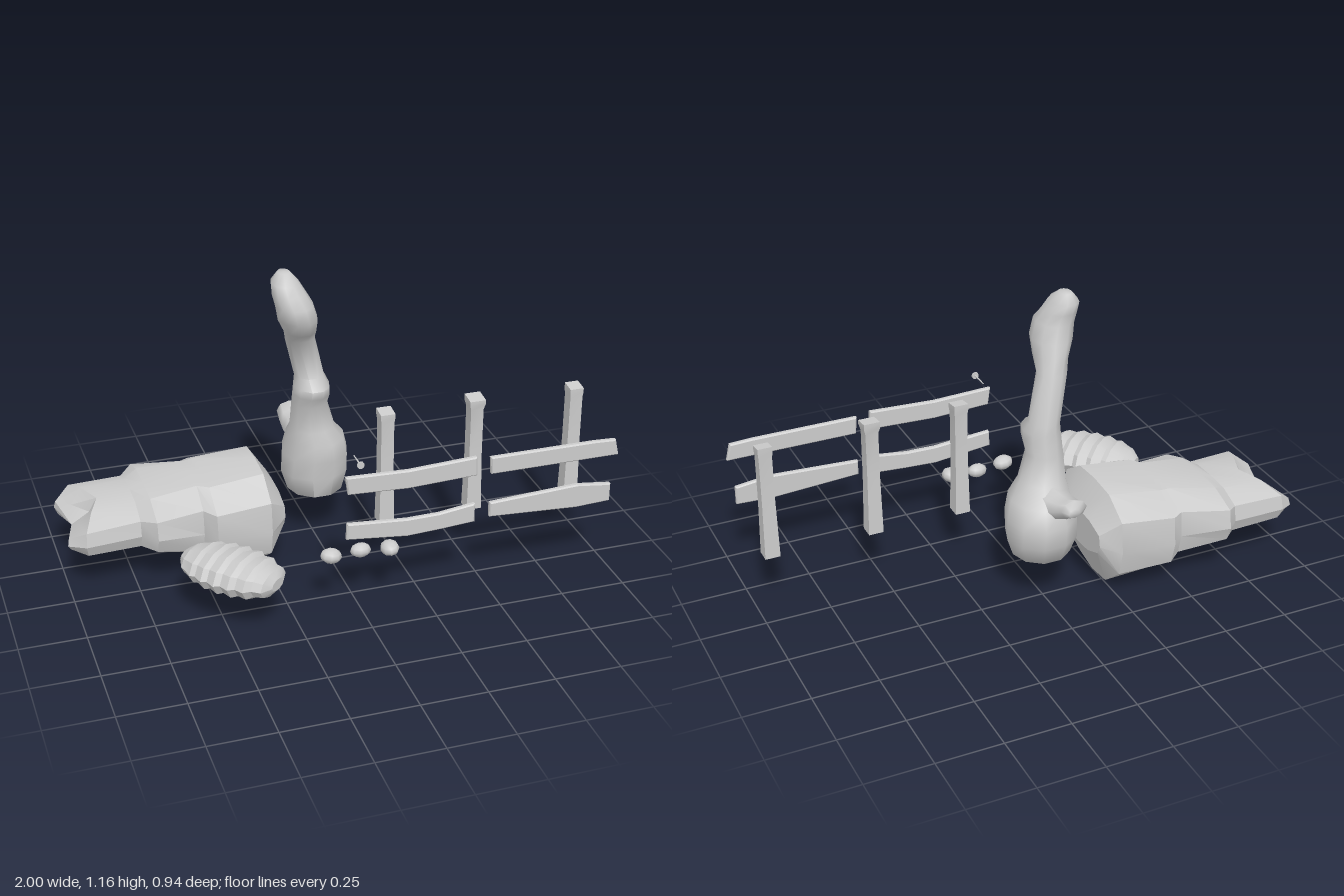
import * as THREE from 'three';
import { toCreasedNormals } from 'three/addons/utils/BufferGeometryUtils.js';

const mat = new THREE.MeshStandardMaterial({ color: 0xcccccc });

function add(parent, name, geo, x = 0, y = 0, z = 0) {
  const m = new THREE.Mesh(geo, mat);
  m.name = name;
  m.position.set(x, y, z);
  parent.add(m);
  return m;
}

// Skin a stack of equal-length rings, closing both ends at their centres
function loft(rings, crease) {
  const n = rings[0].length, pos = [], idx = [];
  rings.forEach(r => r.forEach(p => pos.push(...p)));
  for (let i = 0; i < rings.length - 1; i++)
    for (let j = 0; j < n; j++) {
      const a = i * n + j, b = i * n + (j + 1) % n;
      idx.push(a, a + n, b, b, a + n, b + n);
    }
  [0, rings.length - 1].forEach((k, end) => {
    const c = pos.length / 3;
    pos.push(...[0, 1, 2].map(d => rings[k].reduce((s, p) => s + p[d] / n, 0)));
    for (let j = 0; j < n; j++) {
      const a = k * n + j, b = k * n + (j + 1) % n;
      idx.push(c, end ? b : a, end ? a : b);
    }
  });
  const g = new THREE.BufferGeometry();
  g.setAttribute('position', new THREE.Float32BufferAttribute(pos, 3));
  g.setIndex(idx);
  return toCreasedNormals(g, crease);
}

// Ring of [u, v] pairs filling the given extents
function oval(n, u0, u1, v0, v1) {
  return Array.from({ length: n }, (_, j) => {
    const a = (j / n) * Math.PI * 2;
    return [(u0 + u1) / 2 + Math.cos(a) * (u1 - u0) / 2, (v0 + v1) / 2 + Math.sin(a) * (v1 - v0) / 2];
  });
}

function boulder() {
  // Blocky section: broad flat top, underside narrowing to the base
  const unit = [[1, 0], [0.95, 0.6], [0.5, 0.96], [0, 1], [-0.5, 0.95], [-0.95, 0.62],
    [-1, 0], [-0.9, -0.5], [-0.45, -0.95], [0, -1], [0.45, -0.88], [0.9, -0.5]];
  // x, z range, y range, depth of the notch between the two end lobes
  const sections = [
    [-1.0, -0.37, -0.06, 0.16, 0.25, 0.11], [-0.94, -0.41, 0, 0.13, 0.31, 0.08],
    [-0.73, -0.41, -0.02, 0.12, 0.32, 0], [-0.68, -0.46, 0.045, 0.11, 0.345, 0],
    [-0.5, -0.405, 0.02, 0.05, 0.37, 0], [-0.46, -0.43, 0.075, 0.02, 0.375, 0],
    [-0.25, -0.41, 0.07, 0, 0.4, 0], [-0.18, -0.36, 0.0, 0.15, 0.29, 0]];
  return loft(sections.map(([x, z0, z1, y0, y1, notch]) => unit.map(([u, v]) => [
    x + notch * (1 - Math.abs(u)),
    (y0 + y1) / 2 + v * (y1 - y0) / 2,
    (z0 + z1) / 2 + u * (z1 - z0) / 2])), 0.4);
}

function trunk() {
  // y, x range, z range: swollen root, knot half way, swollen leaning top
  const sections = [
    [0.17, -0.03, 0.05, -0.29, -0.21], [0.205, -0.1, 0.12, -0.36, -0.13],
    [0.28, -0.122, 0.148, -0.39, -0.128], [0.36, -0.118, 0.145, -0.4, -0.11],
    [0.43, -0.105, 0.125, -0.37, -0.11], [0.485, -0.1, 0.08, -0.3, -0.127],
    [0.59, -0.09, 0.05, -0.283, -0.138], [0.64, -0.09, 0.052, -0.275, -0.1],
    [0.675, -0.088, 0.05, -0.27, -0.092], [0.71, -0.08, 0.035, -0.265, -0.14],
    [0.88, -0.125, -0.01, -0.222, -0.115], [0.93, -0.14, -0.018, -0.212, -0.05],
    [0.99, -0.17, -0.02, -0.195, -0.01], [1.05, -0.182, -0.04, -0.178, -0.005],
    [1.09, -0.19, -0.062, -0.175, -0.035], [1.13, -0.19, -0.085, -0.185, -0.05],
    [1.165, -0.16, -0.115, -0.16, -0.1]];
  return loft(sections.map(([y, x0, x1, z0, z1]) =>
    oval(10, x0, x1, z0, z1).map(([x, z]) => [x, y, z])), 1.2);
}

function branchStub() {
  // z, x range, y range
  const sections = [[-0.24, -0.09, 0.09, 0.32, 0.49], [-0.34, -0.09, 0.05, 0.36, 0.478],
    [-0.385, -0.09, 0.025, 0.395, 0.475], [-0.425, -0.088, 0.015, 0.42, 0.492], [-0.45, -0.05, -0.005, 0.435, 0.47]];
  return loft(sections.map(([z, x0, x1, y0, y1]) =>
    oval(8, x0, x1, y0, y1).map(([x, y]) => [x, y, z])), 1.2);
}

function ridgedStone() {
  const rings = [], steps = 14;
  for (let i = 0; i <= steps; i++) {
    const t = -0.97 + 1.94 * i / steps;
    const r = Math.pow(1 - t * t, 0.4) * (i % 2 ? 1.04 : 0.93);
    rings.push(oval(10, -0.128 * r, 0.128 * r, -0.073 * r, 0.073 * r)
      .map(([z, y]) => [0.205 * t + (i % 2 ? 0.008 : 0), y, z]));
  }
  return loft(rings, 0.4);
}

// Fence board from its outline, with thin bevelled edges
function board(points) {
  const g = new THREE.ExtrudeGeometry(new THREE.Shape(points.map(p => new THREE.Vector2(...p))), {
    depth: 0.012, bevelThickness: 0.005, bevelSize: 0.005, bevelOffset: -0.005, bevelSegments: 1 });
  return g.translate(0, 0, 0.371);
}

// Square post, flaring slightly at the head and with an uneven top
function post(height, flare) {
  const s = [[-1, -1], [1, -1], [1, 1], [-1, 1]];
  const rings = [[0, 0.029], [height * 0.5, 0.025], [height * 0.9, 0.025], [height * 0.95, flare], [height, flare]];
  return loft(rings.map(([y, r], i) => s.map(([u, v]) =>
    [u * r, y - (i === 4 && v > 0 ? 0.008 : 0), v * r])), 0.3);
}

export function createModel() {
  const group = new THREE.Group();
  add(group, 'boulder', boulder());

  const tree = new THREE.Group();
  tree.name = 'deadTree';
  add(tree, 'trunk', trunk());
  add(tree, 'branchStub', branchStub());
  group.add(tree);

  add(group, 'ridgedStone', ridgedStone(), -0.47, 0.215, 0.295).rotation.y = -0.85;

  const fence = new THREE.Group();
  fence.name = 'fence';
  [[0.175, 0.463, 0.028], [0.528, 0.468, 0.031], [0.932, 0.457, 0.027]].forEach(([x, h, f]) =>
    add(fence, 'post', post(h, f), x, 0.212, 0.118));
  const boards = {
    upperRailLeftOfTree: [[-0.057, 0.498], [0.17, 0.487], [0.437, 0.497], [0.433, 0.572], [0.17, 0.56], [-0.067, 0.568]],
    lowerRailLeftOfTree: [[-0.063, 0.314], [0.17, 0.289], [0.3, 0.295], [0.432, 0.304], [0.432, 0.38], [0.29, 0.362], [0.17, 0.36], [-0.06, 0.378]],
    upperRailOuter: [[0.492, 0.492], [0.97, 0.492], [1, 0.492], [0.985, 0.557], [0.9, 0.561], [0.487, 0.561]],
    lowerRailOuter: [[0.49, 0.314], [0.84, 0.294], [0.977, 0.3], [0.977, 0.373], [0.84, 0.39], [0.49, 0.373]]
  };
  for (const [name, pts] of Object.entries(boards)) add(fence, name.replace('LeftOfTree', 'Inner'), board(pts));
  group.add(fence);

  // Nail pointing back through the air above the rails
  const nail = new THREE.Group();
  nail.name = 'nail';
  add(nail, 'nailShaft', new THREE.CylinderGeometry(0.004, 0.002, 0.078, 8), 0, 0, -0.039).rotation.x = Math.PI / 2;
  add(nail, 'nailHead', new THREE.CylinderGeometry(0.014, 0.014, 0.006, 10)).rotation.x = Math.PI / 2;
  nail.position.set(-0.016, 0.619, 0.398);
  group.add(nail);

  // Pebbles: centre and half sizes
  [[-0.11, 0.236, 0.348, 0.041, 0.028, 0.034], [0.007, 0.233, 0.336, 0.04, 0.027, 0.029],
    [0.115, 0.231, 0.35, 0.035, 0.027, 0.042]].forEach(([x, y, z, a, b, c], i) => {
    const p = add(group, 'pebble', new THREE.SphereGeometry(1, 9, 6), x, y, z);
    p.scale.set(a, b, c);
    p.rotation.z = (i - 1) * 0.15;
  });
  return group;
}
